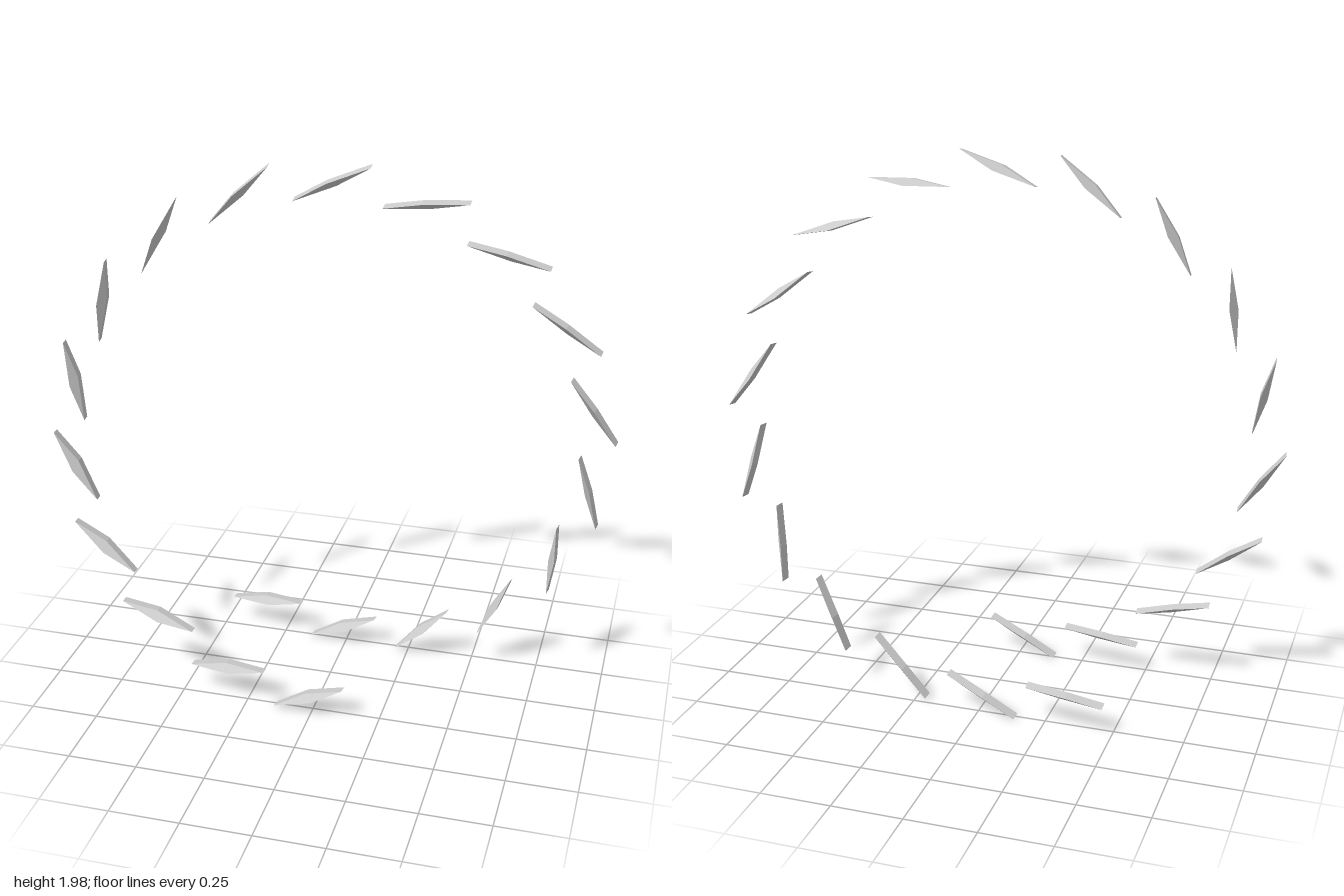
import * as THREE from 'three';

const BLADES = 20;      // a little more than one turn
const PER_TURN = 18;
const RADIUS = 0.925;
const CENTRE_Y = 0.986;
const PITCH = 0.0284;   // step along z between blades

// Slim slanted prism with a diamond section: x along the blade, y inward, z to the front
function bladeGeometry() {
  const tip = new THREE.Vector3(0.144, 0, 0.014);
  const ridge = new THREE.Vector3(-0.009, 0.012, -0.018);
  const depth = new THREE.Vector3(0, 0.003, 0.0195);
  const edge1 = tip.clone().add(ridge).multiplyScalar(0.5);
  const edge2 = ridge.clone().sub(tip).multiplyScalar(0.5);
  const skew = new THREE.Matrix4().makeBasis(edge1, edge2, depth);
  return new THREE.BoxGeometry(2, 2, 2).applyMatrix4(skew);
}

export function createModel() {
  const group = new THREE.Group();
  group.name = 'bladeHelix';
  const geometry = bladeGeometry();
  const material = new THREE.MeshStandardMaterial({ color: 0xcccccc, flatShading: true });

  // Blades follow a helix about the z axis, each tilted from the tangent
  for (let i = 0; i < BLADES; i++) {
    const turn = -i * 2 * Math.PI / PER_TURN;
    const angle = turn + THREE.MathUtils.degToRad(-90.6);
    const blade = new THREE.Mesh(geometry, material);
    blade.name = `blade${i + 1}`;
    blade.position.set(
      RADIUS * Math.cos(angle),
      CENTRE_Y + RADIUS * Math.sin(angle),
      ((BLADES - 1) / 2 - i) * PITCH
    );
    blade.rotation.z = turn + THREE.MathUtils.degToRad(25);
    group.add(blade);
  }
  return group;
}
